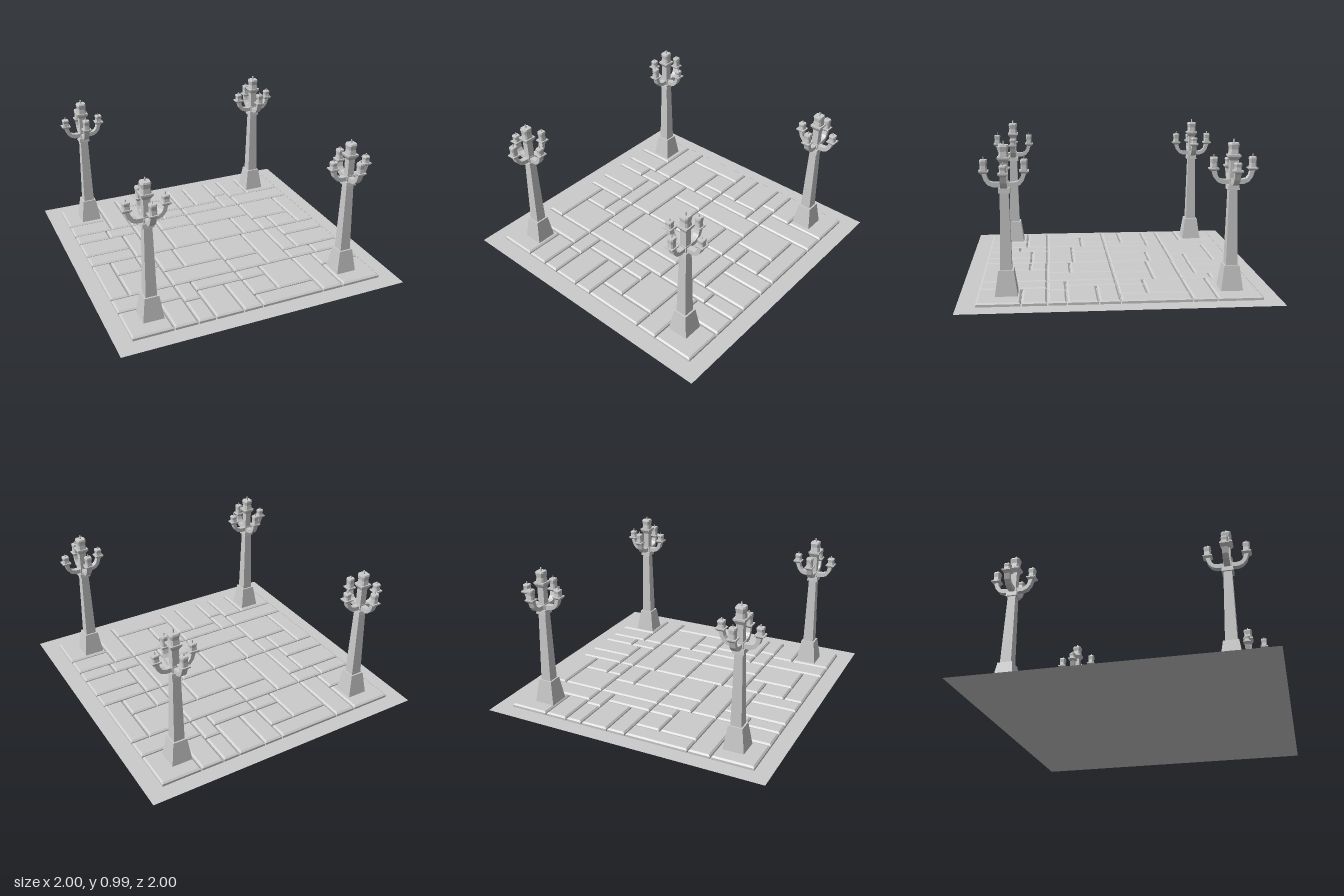
import * as THREE from 'three';

const mat = new THREE.MeshStandardMaterial({ color: 0xcccccc, flatShading: true });
const groundMat = new THREE.MeshStandardMaterial({ color: 0xcccccc, side: THREE.DoubleSide });

function add(parent, name, geometry, x = 0, y = 0, z = 0) {
  const mesh = new THREE.Mesh(geometry, mat);
  mesh.name = name;
  mesh.position.set(x, y, z);
  parent.add(mesh);
  return mesh;
}

// Square tapered block standing on y0, given its bottom and top widths
function frustum(parent, name, bottom, top, y0, y1) {
  const g = new THREE.CylinderGeometry(top * Math.SQRT1_2, bottom * Math.SQRT1_2, y1 - y0, 4);
  g.rotateY(Math.PI / 4);
  return add(parent, name, g, 0, (y0 + y1) / 2, 0);
}

// Paving stone with a bevelled top edge
function stoneGeometry(w, d) {
  const h = 0.024, bevel = 0.011;
  const g = new THREE.BoxGeometry(w, h, d, 1, 2, 1);
  const p = g.attributes.position;
  for (let i = 0; i < p.count; i++) {
    if (p.getY(i) > 0.001) {
      p.setX(i, p.getX(i) - Math.sign(p.getX(i)) * bevel);
      p.setZ(i, p.getZ(i) - Math.sign(p.getZ(i)) * bevel);
    } else if (p.getY(i) > -0.001) p.setY(i, 0.003);
  }
  return g.translate(0, h / 2 + 0.001, 0);
}

// One quarter of the paving: x0, z0, x1, z1 of each stone
const STONES = [
  [-0.89, -0.89, -0.6, -0.61], [-0.6, -0.89, -0.445, -0.45], [-0.89, -0.61, -0.6, -0.45],
  [-0.445, -0.89, 0, -0.755], [-0.445, -0.755, -0.18, -0.45], [-0.18, -0.755, 0, -0.565], [-0.18, -0.565, 0, -0.45],
  [-0.89, -0.45, -0.65, -0.33], [-0.65, -0.45, -0.445, -0.33], [-0.89, -0.33, -0.56, -0.135],
  [-0.89, -0.135, -0.56, 0], [-0.56, -0.33, -0.445, 0],
  [-0.445, -0.45, -0.26, 0], [-0.26, -0.45, 0, -0.29], [-0.26, -0.29, 0, 0],
];

function createPaving() {
  const paving = new THREE.Group();
  paving.name = 'paving';
  paving.position.set(-0.003, 0, -0.004);
  for (let k = 0; k < 4; k++) {
    const quarter = new THREE.Group();
    quarter.name = 'pavingQuarter';
    quarter.rotation.y = k * Math.PI / 2;
    for (const [x0, z0, x1, z1] of STONES) {
      add(quarter, 'pavingStone', stoneGeometry(x1 - x0 - 0.008, z1 - z0 - 0.008), (x0 + x1) / 2, 0, (z0 + z1) / 2);
    }
    paving.add(quarter);
  }
  return paving;
}

// Waisted lantern with chamfered square section and a small tip
function lanternGeometry(r, h, tip) {
  const profile = [[0, 0], [r * 0.95, 0], [r * 0.85, h * 0.45], [r, h * 0.85], [r * 0.9, h],
    [r * 0.15, h], [r * 0.12, h + tip], [0, h + tip]].map(([x, y]) => new THREE.Vector2(x, y));
  const g = new THREE.LatheGeometry(profile, 8, Math.PI / 8);
  const p = g.attributes.position;
  for (let i = 0; i < p.count; i++) {
    const x = p.getX(i), z = p.getZ(i);
    if (Math.abs(x) < Math.abs(z)) p.setX(i, x * 1.6);
    else p.setZ(i, z * 1.6);
  }
  return g;
}

// Side profile of a bracket that runs outwards and curls up
function armGeometry() {
  const s = new THREE.Shape();
  s.moveTo(0, 0.703);
  s.lineTo(0.068, 0.703);
  s.lineTo(0.098, 0.715);
  s.lineTo(0.121, 0.743);
  s.lineTo(0.136, 0.79);
  s.lineTo(0.108, 0.79);
  s.lineTo(0.099, 0.756);
  s.lineTo(0.085, 0.738);
  s.lineTo(0.062, 0.732);
  s.lineTo(0, 0.732);
  return new THREE.ExtrudeGeometry(s, { depth: 0.038, bevelEnabled: false }).translate(0, 0, -0.019);
}

function createLamp() {
  const lamp = new THREE.Group();
  lamp.name = 'streetLamp';
  frustum(lamp, 'pedestal', 0.146, 0.096, 0.01, 0.185);
  frustum(lamp, 'shaft', 0.074, 0.053, 0.185, 0.67);
  frustum(lamp, 'collar', 0.075, 0.07, 0.668, 0.698);
  frustum(lamp, 'hub', 0.054, 0.054, 0.698, 0.74);
  frustum(lamp, 'stem', 0.046, 0.046, 0.74, 0.855);
  frustum(lamp, 'centreCup', 0.046, 0.076, 0.85, 0.876);
  frustum(lamp, 'centrePlate', 0.078, 0.078, 0.876, 0.888);
  add(lamp, 'centreLantern', lanternGeometry(0.035, 0.073, 0.024), 0, 0.888, 0);

  // Four arms, the front and back lanterns slightly taller
  for (let k = 0; k < 4; k++) {
    const arm = new THREE.Group();
    arm.name = 'lampArm';
    arm.rotation.y = k * Math.PI / 2;
    add(arm, 'bracket', armGeometry());
    frustum(arm, 'lanternCup', 0.032, 0.058, 0.782, 0.797).position.x = 0.123;
    frustum(arm, 'lanternPlate', 0.06, 0.06, 0.797, 0.805).position.x = 0.123;
    add(arm, 'sideLantern', lanternGeometry(0.025, k % 2 ? 0.066 : 0.045, 0.018), 0.123, 0.805, 0);
    lamp.add(arm);
  }
  return lamp;
}

export function createModel() {
  const model = new THREE.Group();
  model.name = 'lampCourt';

  const ground = new THREE.Mesh(new THREE.PlaneGeometry(2, 2).rotateX(-Math.PI / 2), groundMat);
  ground.name = 'ground';
  model.add(ground, createPaving());

  for (const x of [-0.71, 0.69]) {
    for (const z of [-0.718, 0.7]) {
      const lamp = createLamp();
      lamp.position.set(x, 0, z);
      model.add(lamp);
    }
  }
  return model;
}
